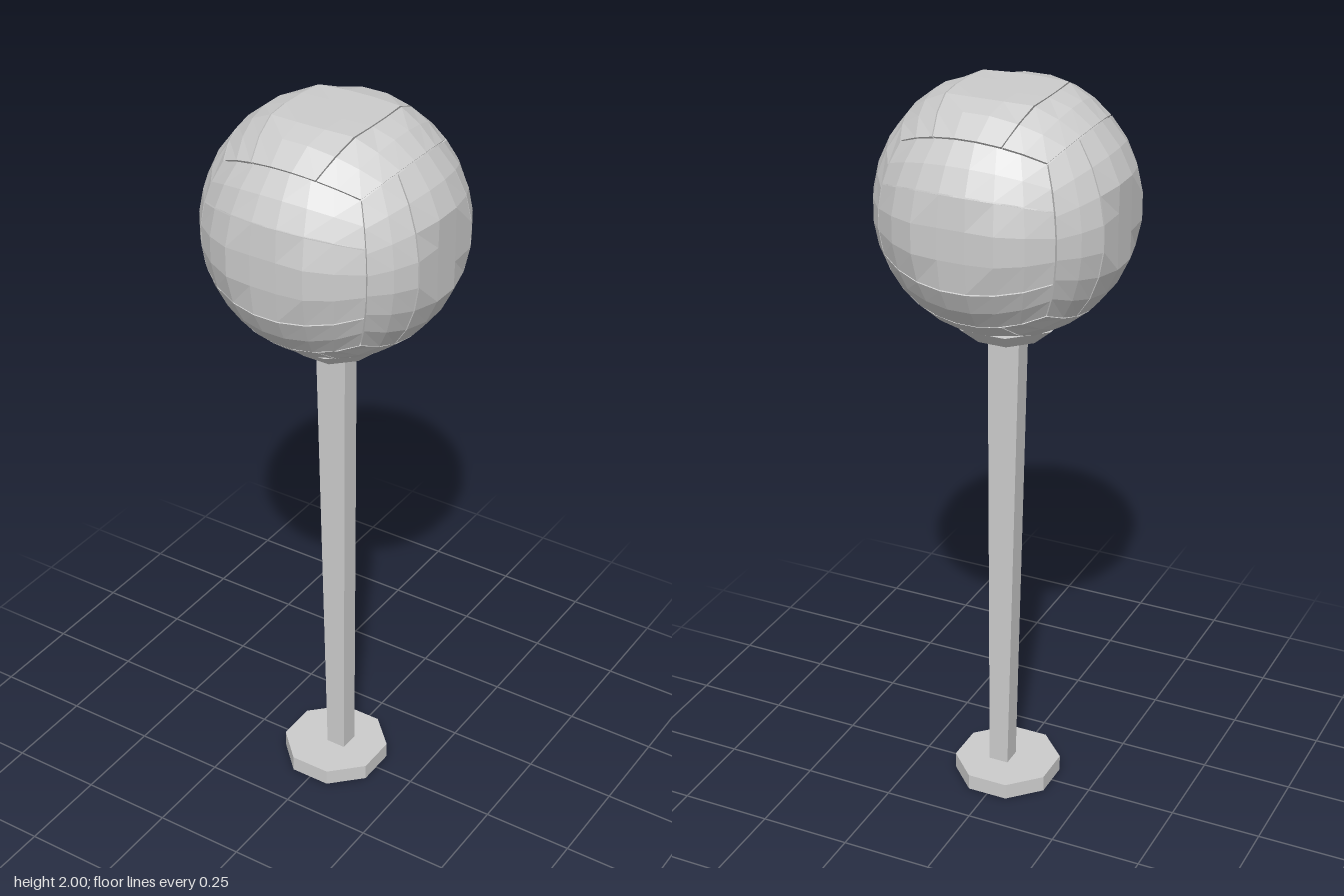
import * as THREE from 'three';

const material = new THREE.MeshStandardMaterial({ color: 0xcccccc, flatShading: true });
const CENTER_Y = 1.7;
const LIMIT = new THREE.Vector3(0.315, 0.3, 0.32); // flats on the six sides of the globe

function addMesh(parent, name, geometry, y = 0) {
  const mesh = new THREE.Mesh(geometry, material);
  mesh.name = name;
  mesh.position.y = y;
  parent.add(mesh);
  return mesh;
}

// Pushes a direction out to a radius, then flattens it against the six side planes
function onGlobe(dir, radius, inset) {
  const p = dir.normalize().multiplyScalar(radius);
  const max = LIMIT.clone().subScalar(inset);
  return p.clamp(max.clone().negate(), max);
}

function mapVertices(geometry, rule) {
  const pos = geometry.attributes.position;
  const v = new THREE.Vector3();
  for (let i = 0; i < pos.count; i++) {
    v.fromBufferAttribute(pos, i);
    const p = rule(v);
    pos.setXYZ(i, p.x, p.y, p.z);
  }
  geometry.computeVertexNormals();
  return geometry;
}

// Curved slab covering part of one cube face; u runs along the strip, v across it
function panelGeometry(v0, v1, segments, frame) {
  const gap = 0.008;
  const slab = new THREE.BoxGeometry(1, 1, 1, 7, segments, 1);
  return mapVertices(slab, (p) => {
    const u = p.x * 2 * (1 - gap);
    const v = THREE.MathUtils.lerp(v0 + gap, v1 - gap, p.y + 0.5);
    const dir = new THREE.Vector3(Math.tan(u * Math.PI / 4), Math.tan(v * Math.PI / 4), 1);
    dir.applyMatrix4(frame);
    return p.z > 0 ? onGlobe(dir, 0.336, 0) : onGlobe(dir, 0.31, 0.015);
  });
}

export function createModel() {
  const group = new THREE.Group();
  group.name = 'globeLamp';

  // Foot
  const foot = new THREE.CylinderGeometry(0.147, 0.147, 0.045, 8);
  foot.rotateY(Math.PI / 8);
  addMesh(group, 'base', foot, 0.0225);

  // Post, straight on its left side and narrowing downwards on its right
  const post = mapVertices(new THREE.BoxGeometry(1, 1.32, 0.056), (p) => {
    p.x = p.x > 0 ? 0.04 : (p.y > 0 ? -0.048 : -0.015);
    p.z -= 0.007;
    return p;
  });
  addMesh(group, 'post', post, 0.7);

  // Flared cup below the globe
  const collar = new THREE.CylinderGeometry(0.16, 0.1, 0.05, 8);
  collar.rotateY(Math.PI / 8);
  addMesh(group, 'collar', collar, 1.377);

  // Globe: inner ball under strips that turn direction from side to side
  const globe = new THREE.Group();
  globe.name = 'globe';
  globe.position.y = CENTER_Y;
  group.add(globe);

  const core = mapVertices(new THREE.IcosahedronGeometry(1, 4), (p) => onGlobe(p, 0.327, 0.008));
  addMesh(globe, 'globeCore', core);

  const X = new THREE.Vector3(1, 0, 0);
  const Y = new THREE.Vector3(0, 1, 0);
  const Z = new THREE.Vector3(0, 0, 1);
  const bounds = [-1, -0.48, 0.48, 1];
  // Strips run along x on front and back, y on the sides, z on top and bottom
  for (const [along, across, out] of [[X, Y, Z], [Y, Z, X], [Z, X, Y]]) {
    for (const side of [1, -1]) {
      const frame = new THREE.Matrix4().makeBasis(
        along, across.clone().multiplyScalar(side), out.clone().multiplyScalar(side));
      for (let i = 0; i < 3; i++) {
        addMesh(globe, 'globePanel', panelGeometry(bounds[i], bounds[i + 1], i === 1 ? 3 : 2, frame));
      }
    }
  }
  return group;
}
